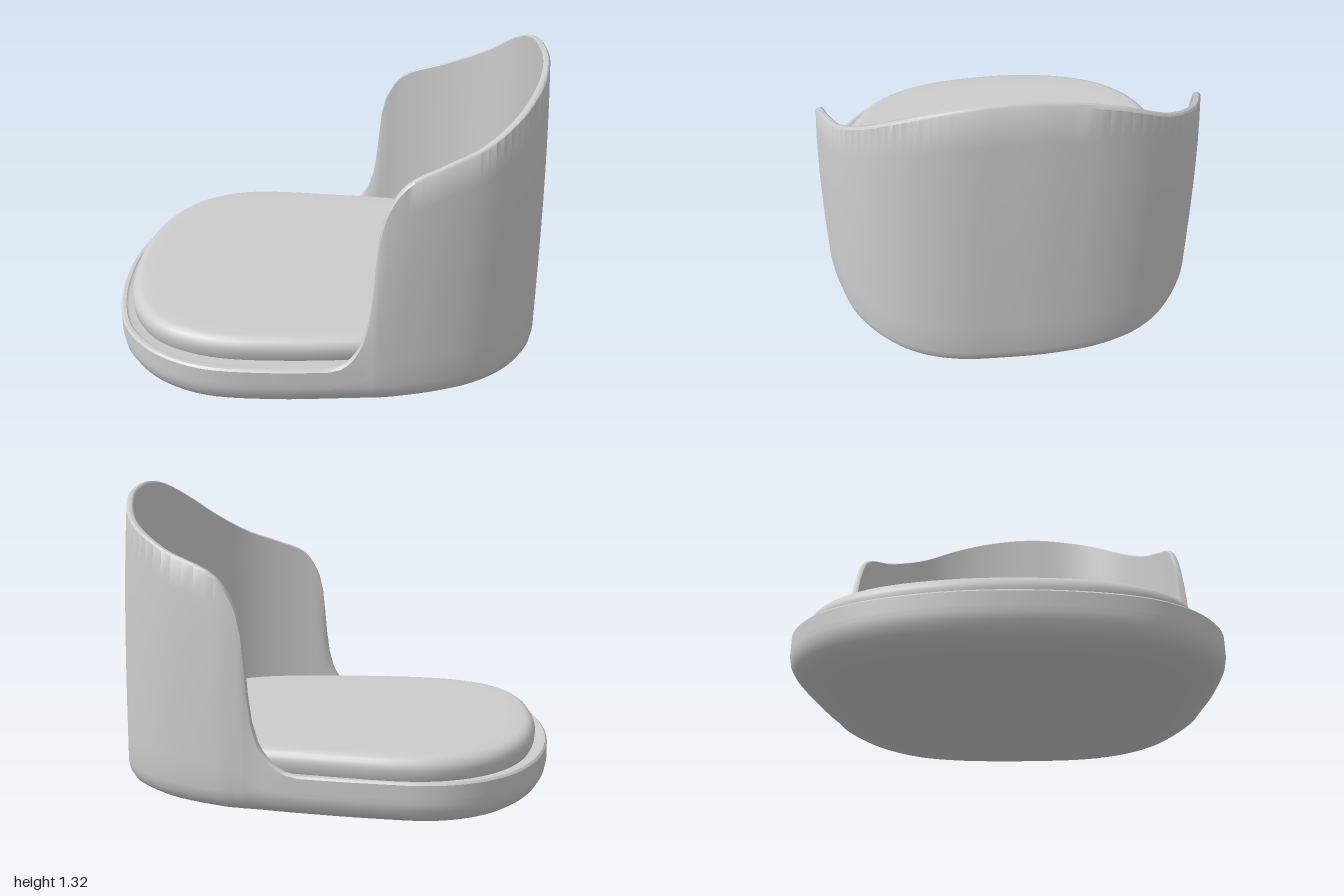
import * as THREE from 'three';
import { toCreasedNormals } from 'three/addons/utils/BufferGeometryUtils.js';

const RIM = 0.18;

// Smooth closed outline from [x, z, height] points
function closedOutline(points, perSegment) {
  const curve = new THREE.CatmullRomCurve3(
    points.map(([x, z, y = 0]) => new THREE.Vector3(x, y, z)), true, 'centripetal');
  const n = points.length * perSegment;
  const pts = Array.from({ length: n }, (_, i) => curve.getPoint(i / n));
  return pts.map((p, i) => {
    const a = pts[(i + n - 1) % n], b = pts[(i + 1) % n];
    const len = Math.hypot(b.x - a.x, b.z - a.z) || 1;
    return { x: p.x, z: p.z, top: Math.max(p.y, RIM), nx: (b.z - a.z) / len, nz: -(b.x - a.x) / len };
  });
}

// Skins cross-sections: each section maps an outline point to [inset, y]; both ends are capped
function loft(outline, sections, crease) {
  const n = outline.length, pos = [], idx = [];
  for (const section of sections) {
    for (const p of outline) {
      const [inset, y] = section(p);
      pos.push(p.x - p.nx * inset, y, p.z - p.nz * inset);
    }
  }
  for (let j = 0; j < sections.length - 1; j++) {
    for (let i = 0; i < n; i++) {
      const k = (i + 1) % n, a = j * n + i, b = j * n + k;
      idx.push(a, a + n, b, b, a + n, b + n);
    }
  }
  const last = (sections.length - 1) * n, low = pos.length / 3, high = low + 1;
  pos.push(0, pos[1], 0, 0, pos[last * 3 + 1], 0);
  for (let i = 0; i < n; i++) {
    const k = (i + 1) % n;
    idx.push(low, i, k, high, last + k, last + i);
  }
  const g = new THREE.BufferGeometry();
  g.setAttribute('position', new THREE.Float32BufferAttribute(pos, 3));
  g.setIndex(idx);
  return toCreasedNormals(g, crease);
}

export function createModel() {
  const group = new THREE.Group();
  const material = new THREE.MeshStandardMaterial({ color: 0xcccccc });
  const add = (name, geometry) => {
    const mesh = new THREE.Mesh(geometry, material);
    mesh.name = name;
    group.add(mesh);
  };

  // Shell outline with the height of its edge: low at the open side, rising to the backrest
  const shell = closedOutline([
    [0.99, 0, 1.15], [0.96, 0.22, 1.25], [0.87, 0.43, 1.305], [0.77, 0.6, 1.315], [0.66, 0.76, 1.29],
    [0.53, 0.88, 1.235], [0.37, 0.955, 1.15], [0.18, 0.98, 1.06], [0, 0.955, 1.0], [-0.14, 0.915, 0.94],
    [-0.22, 0.885, 0.81], [-0.29, 0.85, 0.3], [-0.37, 0.81, 0.19], [-0.6, 0.69, RIM], [-0.84, 0.52, RIM],
    [-0.96, 0.33, RIM], [-1, 0.12, RIM], [-0.97, -0.08, RIM], [-0.86, -0.36, RIM], [-0.7, -0.62, RIM],
    [-0.5, -0.83, RIM], [-0.3, -0.95, RIM], [-0.12, -0.98, RIM], [0.04, -0.95, RIM], [0.25, -0.83, RIM],
    [0.52, -0.64, 0.19], [0.61, -0.57, 0.3], [0.68, -0.52, 0.81], [0.75, -0.46, 0.94], [0.91, -0.25, 1.04],
  ], 5);

  // Wall leans in slightly towards the top edge
  const lean = (p, t) => 0.025 * Math.min(1, (p.top - RIM) / 0.7) * t * t * t;
  const lerp = (a, b, t) => a + (b - a) * t;
  const sections = [
    () => [0.17, 0], () => [0.1, 0.006], () => [0.055, 0.016], () => [0.025, 0.035], () => [0.007, 0.065],
  ];
  for (let s = 0; s <= 8; s++) {
    const t = s / 8;
    sections.push((p) => [lean(p, t), lerp(0.1, p.top - 0.008, t)]);
  }
  sections.push((p) => [lean(p, 1) + 0.008, p.top]);
  sections.push((p) => [lean(p, 1) + 0.022, p.top]);
  for (let s = 0; s <= 6; s++) {
    const t = s / 6;
    sections.push((p) => [lerp(lean(p, 1) + 0.028, 0.052, t), lerp(p.top - 0.006, RIM - 0.01, t)]);
  }
  sections.push(() => [0.15, RIM - 0.01]);
  add('seatShell', loft(shell, sections, 0.75));

  // Cushion with rounded upper edge
  const cushionOutline = closedOutline([
    [0.89, 0], [0.85, 0.2], [0.75, 0.41], [0.62, 0.6], [0.49, 0.75], [0.33, 0.855], [0.13, 0.89],
    [-0.1, 0.835], [-0.5, 0.65], [-0.78, 0.46], [-0.91, 0.27], [-0.94, 0.1], [-0.91, -0.1], [-0.8, -0.36],
    [-0.65, -0.6], [-0.46, -0.8], [-0.28, -0.9], [-0.1, -0.925], [0.08, -0.88], [0.45, -0.62],
    [0.74, -0.38], [0.85, -0.2],
  ], 5);
  const cushion = [() => [0.02, 0.15], () => [0.004, 0.18]];
  const r = 0.052;
  for (let s = 0; s <= 6; s++) {
    const a = (s / 6) * Math.PI / 2;
    cushion.push(() => [r * (1 - Math.cos(a)), 0.265 - r + r * Math.sin(a)]);
  }
  cushion.push(() => [0.12, 0.265]);
  add('cushion', loft(cushionOutline, cushion, 0.9));

  return group;
}
